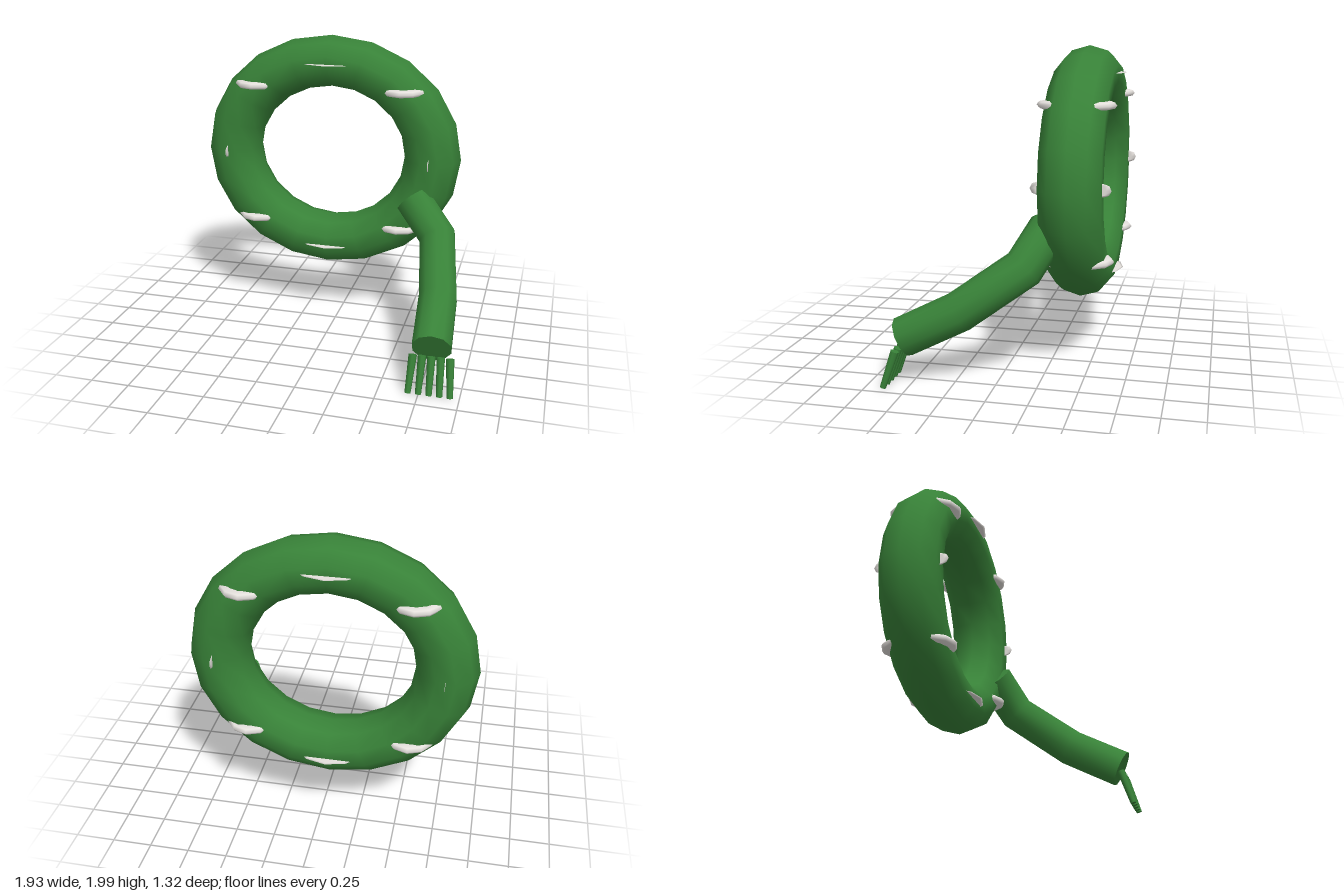
import * as THREE from 'three';
import { toCreasedNormals } from 'three/addons/utils/BufferGeometryUtils.js';

const V = (x, y, z) => new THREE.Vector3(x, y, z);

// Bends a cylinder so that its rings follow the points of a path
function bentTube(path, radius, sides) {
  const n = path.length - 1;
  const geo = new THREE.CylinderGeometry(radius, radius, 1, sides, n);
  const frames = path.map((p, i) => {
    const t = V(0, 0, 0);
    if (i > 0) t.add(p.clone().sub(path[i - 1]).normalize());
    if (i < n) t.add(path[i + 1].clone().sub(p).normalize());
    t.normalize();
    const side = V(1, 0, 0).addScaledVector(t, -t.x).normalize();
    return { p, side, up: side.clone().cross(t.clone().negate()) };
  });
  const pos = geo.attributes.position;
  for (let i = 0; i < pos.count; i++) {
    const f = frames[Math.round((0.5 - pos.getY(i)) * n)];
    const v = f.p.clone()
      .addScaledVector(f.side, pos.getX(i))
      .addScaledVector(f.up, pos.getZ(i));
    pos.setXYZ(i, v.x, v.y, v.z);
  }
  return toCreasedNormals(geo, 1.0);
}

export function createModel() {
  const green = new THREE.MeshStandardMaterial({ color: 0x388238 });
  green.name = 'green';
  const white = new THREE.MeshStandardMaterial({ color: 0xe4e0dc });
  white.name = 'white';

  const model = new THREE.Group();
  const add = (name, geo, mat, parent = model) => {
    const mesh = new THREE.Mesh(geo, mat);
    mesh.name = name;
    parent.add(mesh);
    return mesh;
  };

  // Ring body, slightly wider than tall
  const cx = -0.07, cy = 1.195, cz = -0.42;
  const ring = new THREE.TorusGeometry(0.6325, 0.172, 10, 20);
  ring.scale(1.11, 1, 1.13);
  add('ringBody', ring, green).position.set(cx, cy, cz);

  // White hoops that break through the front and back of the body
  const hoops = new THREE.Group();
  hoops.name = 'hoops';
  model.add(hoops);
  const hoop = (name, x, y, sx, sy) => {
    const geo = new THREE.TorusGeometry(0.8, 0.2, 8, 12);
    geo.rotateX(Math.PI / 2);
    geo.scale(sx, sy / 0.2, 0.24);
    add(name, geo, white, hoops).position.set(cx + x, cy + y, cz);
  };
  for (const x of [-1, 1]) {
    for (const y of [-1, 1]) hoop('diagonalHoop', x * 0.503, y * 0.47, 0.175, 0.026);
  }
  // Flat hoops at the top, bottom and both sides
  for (const s of [-1, 1]) {
    hoop('flatHoop', 0, s * 0.635, 0.25, 0.001);
    hoop('sideHoop', s * 0.7, 0, 0.001, 0.04);
  }

  // Arm, bending forward and down out of the body
  const armPath = [
    V(0.53, 0.94, -0.28), V(0.72, 0.735, -0.165),
    V(0.79, 0.465, 0.21), V(0.81, 0.29, 0.555),
  ];
  add('arm', bentTube(armPath, 0.124, 10), green);

  // Five fingers, fanned a little
  const fingers = new THREE.Group();
  fingers.name = 'fingers';
  model.add(fingers);
  for (let i = -2; i <= 2; i++) {
    const top = V(0.813 + i * 0.057, 0.24, 0.566);
    const tip = V(0.815 + i * 0.0645, 0.015, 0.64);
    const dir = top.clone().sub(tip);
    const geo = new THREE.CylinderGeometry(0.026, 0.019, dir.length(), 8);
    const finger = add('finger', geo, green, fingers);
    finger.position.copy(top).add(tip).multiplyScalar(0.5);
    finger.quaternion.setFromUnitVectors(V(0, 1, 0), dir.normalize());
  }

  return model;
}
